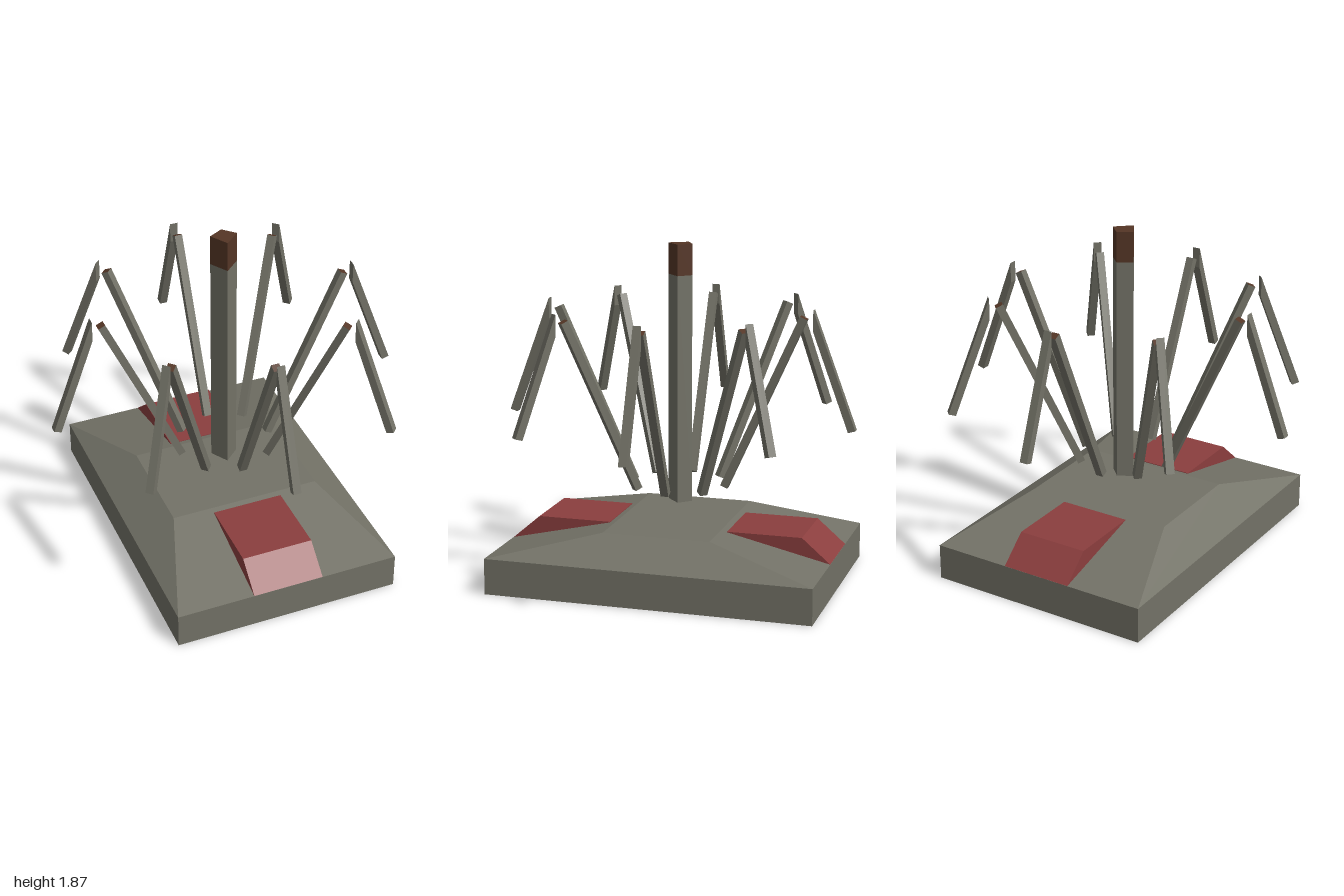
import * as THREE from 'three';

const stone = new THREE.MeshStandardMaterial({ color: 0x737267 });
stone.name = 'stone grey';
const red = new THREE.MeshStandardMaterial({ color: 0x8b3e3e });
red.name = 'dull red';
const brown = new THREE.MeshStandardMaterial({ color: 0x553626 });
brown.name = 'dark brown';

function part(name, geometry, material, x = 0, y = 0, z = 0) {
  const mesh = new THREE.Mesh(geometry, material);
  mesh.name = name;
  mesh.position.set(x, y, z);
  return mesh;
}

// Flat outline in (x, y), extruded along z
function slab(points, depth) {
  const shape = new THREE.Shape(points.map(([x, y]) => new THREE.Vector2(x, y)));
  return new THREE.ExtrudeGeometry(shape, { depth, bevelEnabled: false });
}

// Outline of radius and height, centred across its width
function radialSlab(points, width) {
  return slab(points, width).translate(0, 0, -width / 2);
}

// Uneven four-sided post standing between two heights
function post(y0, y1) {
  const corners = [[0.005, 0.083], [0.068, 0.019], [-0.016, -0.058], [-0.075, 0.04]];
  return slab(corners, y1 - y0).rotateX(-Math.PI / 2).translate(0, y0, 0);
}

export function createModel() {
  const model = new THREE.Group();
  model.name = 'model';

  // Base block with a sloped top
  const W = 1.27, D = 1.815;
  model.add(part('basePlinth', new THREE.BoxGeometry(W, 0.2, D), stone, -0.01, 0.1, 0));
  const slope = new THREE.BoxGeometry(W, 0.14, D);
  const pos = slope.attributes.position;
  for (let i = 0; i < pos.count; i++) {
    if (pos.getY(i) > 0) {
      pos.setX(i, Math.sign(pos.getX(i)) * 0.425);
      pos.setZ(i, Math.sign(pos.getZ(i)) * 0.3);
    }
  }
  slope.computeVertexNormals();
  model.add(part('baseSlope', slope, stone, -0.01, 0.27, 0));

  // Red wedges at the front and back
  const wedge = radialSlab([[0.335, 0.2], [0.907, 0.2], [0.75, 0.335], [0.335, 0.335]], 0.4);
  for (const [name, turn] of [['frontWedge', -1], ['backWedge', 1]]) {
    const mesh = part(name, wedge, red, -0.01, 0, 0);
    mesh.rotation.y = turn * Math.PI / 2;
    model.add(mesh);
  }

  // Central post with its brown cap
  model.add(part('centralPost', post(0.44, 1.7), stone));
  model.add(part('postCap', post(1.7, 1.87), brown));

  // Ring of eight bent arms; upper ends of the inner rods are brown
  const dr = 0.435, dy = 0.96;
  const rod = new THREE.BoxGeometry(0.042, Math.hypot(dr, dy), 0.044);
  const rodMaterials = [stone, stone, brown, stone, stone, stone];
  for (let i = 0; i < 8; i++) {
    const arm = new THREE.Group();
    arm.name = 'arm' + (i + 1);
    arm.position.set(-0.01, 0, -0.005);
    arm.rotation.y = i * Math.PI / 4;

    const inner = part('innerRod', rod, rodMaterials, 0.26 + dr / 2, 0.535 + dy / 2, 0);
    inner.rotation.z = -Math.atan2(dr, dy);
    arm.add(inner);

    // The arm on the left side hangs slightly lower
    const drop = i === 0 ? 0.03 : 0;
    const out = drop * 0.4;
    const outline = [
      [0.748, 1.54], [0.748, 1.425],
      [0.948 + out, 0.885 - drop], [0.988 + out, 0.897 - drop],
    ];
    arm.add(part('outerRod', radialSlab(outline, 0.044), stone));
    model.add(arm);
  }
  return model;
}
